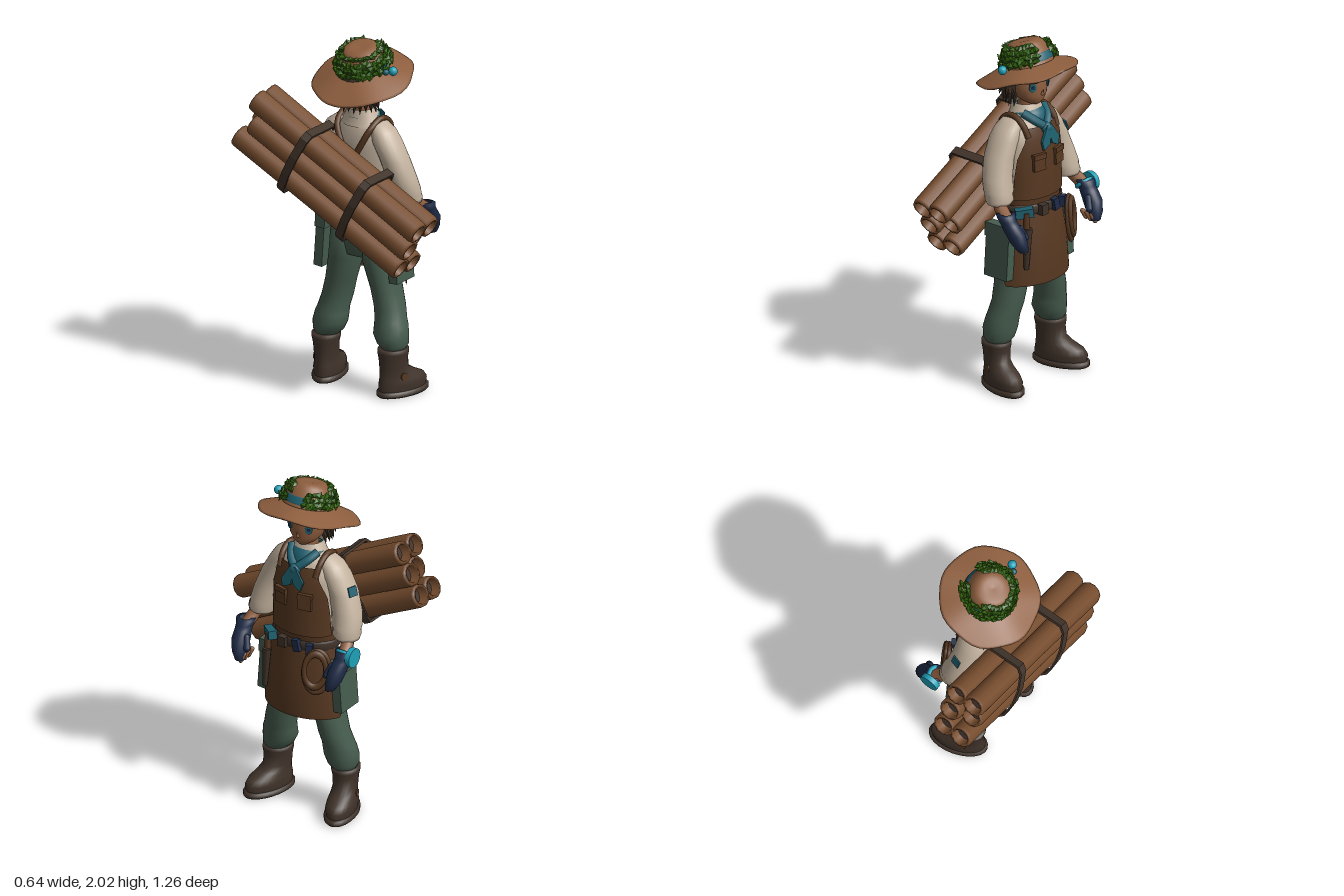
import * as THREE from 'three';

const mat = (name, color) => {
  const m = new THREE.MeshStandardMaterial({ color, side: THREE.DoubleSide });
  m.name = name;
  return m;
};

export function createModel() {
  const tan = mat('tan', 0x8f5f3f), cream = mat('cream', 0xc2b19d), brown = mat('apronBrown', 0x573821);
  const wood = mat('wood', 0x784e2f), green = mat('trouserGreen', 0x465c4e), dark = mat('darkBrown', 0x40332a);
  const leaf = mat('leaf', 0x35660f), teal = mat('teal', 0x1f6070), cyan = mat('cyan', 0x20a0b8), navy = mat('navy', 0x1f2c48);

  const root = new THREE.Group();
  root.name = 'forester';
  const body = new THREE.Group();
  body.name = 'body';
  body.position.x = -0.037;
  root.add(body);

  const put = (name, geo, m, x = 0, y = 0, z = 0, parent = body, rx = 0, ry = 0, rz = 0) => {
    const mesh = new THREE.Mesh(geo, m);
    mesh.name = name;
    mesh.position.set(x, y, z);
    mesh.rotation.set(rx, ry, rz);
    parent.add(mesh);
    return mesh;
  };
  const box = (w, h, d) => new THREE.BoxGeometry(w, h, d);
  const V = (p) => new THREE.Vector3(...p);
  const tube = (pts, r, sides = 8) => new THREE.TubeGeometry(new THREE.CatmullRomCurve3(pts.map(V)), 24, r, sides);

  // Skin over horizontal ellipses, bottom to top: [y, rx, rz, cx, cz, halfArc]
  const loft = (rings, n = 24) => {
    const pos = [], idx = [], closed = rings[0][5] === undefined, w = closed ? n : n + 1;
    for (const [y, rx, rz, cx = 0, cz = 0, half = Math.PI] of rings)
      for (let j = 0; j < w; j++) {
        const a = -half + (2 * half * j) / n;
        pos.push(cx + rx * Math.sin(a), y, cz + rz * Math.cos(a));
      }
    for (let i = 0; i < rings.length - 1; i++)
      for (let j = 0; j < n; j++) {
        const a = i * w + j, b = i * w + ((j + 1) % w);
        idx.push(a, b, b + w, a, b + w, a + w);
      }
    const g = new THREE.BufferGeometry();
    g.setAttribute('position', new THREE.Float32BufferAttribute(pos, 3));
    g.setIndex(idx);
    g.computeVertexNormals();
    return g;
  };
  const mirrored = (rings, s) => rings.map(([y, rx, rz, cx = 0, cz = 0]) => [y, rx, rz, cx * s, cz]);
  let seed = 7;
  const rnd = () => (seed = (seed * 16807) % 2147483647) / 2147483647;

  // Torso and hips
  put('shirt', loft([[1.02, .175, .11, 0, .07], [1.15, .18, .112, 0, .09], [1.3, .19, .128, 0, .07], [1.44, .195, .127, 0, .062],
    [1.52, .17, .11, 0, .053], [1.57, .115, .085, 0, .048], [1.6, .07, .065, 0, .045]]), cream);
  put('collar', loft([[1.545, .13, .105, 0, .048], [1.59, .1, .09, 0, .045], [1.64, .075, .075, 0, .035]]), cream);
  put('neck', new THREE.CylinderGeometry(.05, .055, .14, 16), tan, 0, 1.63, .045);
  put('hips', loft([[.76, 0, 0, 0, .055], [.78, .14, .09, 0, .055], [.88, .195, .112, 0, .055], [1.04, .185, .115, 0, .06]]), green);

  // Apron
  put('apronWaist', loft([[1.02, .19, .125, 0, .07], [1.1, .188, .123, 0, .082], [1.17, .19, .12, 0, .09]]), brown);
  put('apronBib', loft([[1.12, .195, .13, 0, .088, 1.4], [1.25, .2, .138, 0, .076, 1.25], [1.36, .203, .142, 0, .068, 1.1],
    [1.46, .2, .138, 0, .062, .8], [1.53, .175, .124, 0, .053, .75]]), brown);
  put('apronSkirt', loft([[.62, .257, .185, 0, .06, 1.3], [.64, .257, .187, 0, .06, 1.35], [.8, .24, .185, 0, .06, 1.35],
    [.95, .22, .16, 0, .062, 1.4], [1.06, .198, .135, 0, .07, 1.5]]), brown);
  put('belt', loft([[1.03, .2, .14, 0, .07], [1.04, .207, .147, 0, .07], [1.075, .207, .145, 0, .073], [1.085, .198, .135, 0, .073]]), dark);

  // Belt tools
  put('tealPouch', box(.1, .05, .05), teal, -.17, 1.055, .175, body, 0, -.7, .1);
  put('buckle', box(.04, .07, .03), navy, .035, 1.06, .222, body, 0, 0, .2);
  put('smallPouch', box(.05, .06, .04), dark, -.06, 1.055, .215);
  put('clip', box(.04, .06, .04), navy, .11, 1.05, .205, body, 0, .5);
  put('knifeSheath', new THREE.CylinderGeometry(.026, .014, .24, 8), dark, -.18, .85, .205, body, 0, 0, -.06);
  put('knifeHandle', new THREE.CylinderGeometry(.016, .02, .1, 8), brown, -.175, 1.01, .195);
  for (let i = 0; i < 2; i++) {
    const coil = put('ropeCoil', new THREE.TorusGeometry(.072 - i * .012, .014, 8, 28), brown, .165, .93 + i * .015, .215 + i * .018, body, -.1, .55);
    coil.scale.y = 1.65;
  }

  // Limbs, built once per side
  for (const s of [-1, 1]) {
    const side = s > 0 ? 'left' : 'right';
    put(side + 'TrouserLeg', loft(mirrored([[.25, 0, 0, .225, .03], [.265, .06, .065, .225, .03], [.3, .088, .088, .215, .03], [.35, .1, .096, .203, .03],
      [.4, .096, .094, .198, .04], [.43, .09, .092, .192, .045], [.5, .087, .093, .175, .06], [.6, .084, .1, .152, .062], [.75, .095, .11, .115, .057],
      [.9, .095, .113, .1, .055], [.95, 0, 0, .09, .05]], s)), green);
    const pocket = put(side + 'CargoPocket', box(.055, .3, .165), green, s * .243, .815, .06, body, 0, 0, s * .07);
    put(side + 'PocketFlap', box(.065, .08, .178), green, 0, .12, 0, pocket);

    const boot = new THREE.Group();
    boot.name = side + 'Boot';
    boot.position.set(s * .225, 0, .02);
    boot.rotation.y = s * .28;
    body.add(boot);
    put('bootUpper', loft([[.03, .078, .155, 0, .064], [.07, .083, .158, 0, .066], [.1, .077, .145, 0, .058], [.13, .07, .112, 0, .028],
      [.16, .068, .088, 0, .006], [.22, .072, .086, 0, 0], [.255, .08, .092, 0, 0], [.275, .08, .09, 0, 0], [.275, .05, .06]]), dark, 0, 0, 0, boot);
    put('sole', loft([[0, 0, 0, 0, .066], [0, .08, .16, 0, .066], [.01, .09, .17, 0, .066], [.032, .09, .17, 0, .066], [.038, .07, .15, 0, .066]]), dark, 0, 0, 0, boot);
    put('anklePatch', new THREE.CylinderGeometry(.022, .022, .008, 12), brown, s * .072, .12, .02, boot, 0, 0, Math.PI / 2);

    put(side + 'Sleeve', loft(mirrored([[1.125, .045, .045, .285, .09], [1.13, .07, .068, .283, .09], [1.15, .08, .08, .278, .088], [1.18, .078, .078, .276, .08],
      [1.2, .086, .084, .27, .075], [1.27, .085, .085, .258, .055], [1.38, .082, .087, .222, .038], [1.47, .08, .09, .175, .035],
      [1.53, .07, .078, .145, .038], [1.57, .045, .055, .115, .04], [1.585, 0, 0, .1, .04]], s)), cream);
    put(side + 'Forearm', tube([[s * .285, 1.17, .08], [s * .31, 1.11, .13], [s * .325, 1.06, .19]], .037), tan);
    put(side + 'Glove', loft(mirrored([[.885, 0, 0, .3, .28], [.895, .028, .03, .3, .282], [.94, .043, .05, .312, .265], [1.0, .05, .06, .322, .24],
      [1.05, .046, .055, .328, .205], [1.07, .048, .052, .33, .19], [1.1, .056, .052, .33, .18], [1.105, .035, .035, .33, .18]], s)), navy);
    put(side + 'Thumb', new THREE.CapsuleGeometry(.02, .06, 4, 10), navy, s * .275, .99, .255, body, -.4, 0, s * -.3);
    for (let i = 0; i < 3; i++)
      put(side + 'Finger', new THREE.CapsuleGeometry(.014, .04, 4, 8), tan, s * (.268 + i * .008), .925 - i * .008, .23 + i * .026, body, -.4, 0, s * .3);

    put(side + 'ChestPocket', box(.078, .095, .025), brown, s * .078, 1.335, .202, body, -.05, s * .2);
    put(side + 'ChestPocketFlap', box(.084, .03, .032), brown, s * .078, 1.37, .203, body, -.05, s * .2);
    put(side + 'ApronStrap', tube([[s * .118, 1.48, .16], [s * .125, 1.55, .125], [s * .125, 1.59, .05], [s * .11, 1.54, -.04],
      [s * .05, 1.42, -.068], [-s * .04, 1.28, -.06], [-s * .11, 1.13, -.02]], .017), brown);
  }
  put('wristDevice', new THREE.CylinderGeometry(.056, .056, .03, 24), cyan, .377, 1.07, .178, body, 0, 0, Math.PI / 2);
  put('wristBand', new THREE.TorusGeometry(.044, .012, 8, 20), cyan, .327, 1.075, .175, body, Math.PI / 2 - .7);
  put('sleevePatch', box(.008, .055, .055), teal, .298, 1.405, .06, body, 0, -.3, .32);

  // Scarf
  put('scarfLoop', loft([[1.535, .085, .09, 0, .075], [1.56, .1, .1, 0, .06], [1.595, .098, .095, 0, .05], [1.615, .075, .075, 0, .045]]), teal);
  put('scarfKnot', new THREE.SphereGeometry(.036, 14, 10), teal, 0, 1.515, .19).scale.set(1, .9, .8);
  const tail = new THREE.Shape([[-.018, 0], [.018, 0], [.036, -.1], [0, -.14], [-.03, -.1]].map((p) => new THREE.Vector2(...p)));
  for (const s of [-1, 1]) {
    put('scarfTail', new THREE.ExtrudeGeometry(tail, { depth: .015, bevelEnabled: false }), teal, 0, 1.53, .198, body, -.1, 0, s * .42);
    put('scarfFold', tube([[s * .085, 1.6, .09], [s * .055, 1.565, .145], [0, 1.515, .19]], .024), teal);
  }

  // Head, face and hair
  put('head', loft([[1.635, 0, 0, 0, .1], [1.642, .03, .03, 0, .1], [1.665, .066, .065, 0, .085], [1.7, .096, .092, 0, .066], [1.75, .113, .108, 0, .052],
    [1.82, .118, .112, 0, .045], [1.89, .095, .09, 0, .035], [1.92, 0, 0, 0, .03]], 28), tan);
  put('nose', new THREE.ConeGeometry(.012, .035, 8), tan, 0, 1.722, .163, body, .3);
  for (const s of [-1, 1]) {
    put('ear', new THREE.SphereGeometry(.025, 10, 8), tan, s * .115, 1.74, .03).scale.set(.5, 1.2, 1);
    put('eye', new THREE.CylinderGeometry(.021, .021, .008, 16), teal, s * .062, 1.757, .143, body, Math.PI / 2, 0, -s * .48).scale.z = 1.25;
    put('pupil', new THREE.CylinderGeometry(.01, .01, .008, 12), navy, s * .063, 1.757, .146, body, Math.PI / 2, 0, -s * .48);
    put('brow', box(.052, .008, .008), dark, s * .062, 1.785, .147, body, 0, s * .48, -s * .1);
  }
  put('hair', new THREE.SphereGeometry(.122, 20, 14), dark, 0, 1.79, .005).scale.set(1.02, 1, .9);
  for (let i = 0; i < 26; i++) {
    const a = 1.3 + (3.7 * (i % 13)) / 12, low = i < 13 ? 1.735 : 1.69, r = i < 13 ? .122 : .1;
    put('hairLock', new THREE.ConeGeometry(.03, .1 + rnd() * .03, 5), dark, Math.sin(a) * r, low, .015 + Math.cos(a) * r * .9,
      body, Math.PI - Math.cos(a) * .35, 0, Math.sin(a) * -.25);
  }
  put('headband', loft([[1.79, .126, .12, 0, .05, 1.75], [1.8, .134, .128, 0, .05, 1.75], [1.85, .134, .128, 0, .05, 1.75], [1.86, .126, .12, 0, .05, 1.75]]), teal);

  // Hat with a wavy brim, band and leaf wreath
  const hat = new THREE.Group();
  hat.name = 'hat';
  hat.position.set(0, 1.862, .032);
  hat.rotation.x = -.3;
  body.add(hat);
  const lathe = (pts, n) => new THREE.LatheGeometry(pts.map((p) => new THREE.Vector2(...p)), n);
  const brim = lathe([[.1, -.012], [.2, -.045], [.275, -.07], [.287, -.064], [.275, -.055], [.2, -.026], [.13, .004], [.1, .01]], 40);
  const bp = brim.attributes.position;
  for (let i = 0; i < bp.count; i++) {
    const x = bp.getX(i), z = bp.getZ(i), a = Math.atan2(x, z), k = Math.max(0, Math.hypot(x, z) - .15) / .135;
    const f = 1 + .015 * k * Math.sin(a * 7);
    bp.setXYZ(i, x * f, bp.getY(i) + .007 * k * Math.sin(a * 5 + 1), z * f);
  }
  brim.computeVertexNormals();
  put('brim', brim, tan, 0, 0, 0, hat);
  put('crown', lathe([[.142, -.005], [.133, .03], [.122, .07], [.105, .105], [.082, .124], [.05, .127], [0, .122]], 28), tan, 0, 0, .03, hat);
  put('hatBand', lathe([[.142, .012], [.143, .018], [.135, .052], [.13, .055]], 28), teal, 0, 0, .03, hat);
  for (let i = 0; i < 84; i++) {
    const a = .42 + (5.45 * i) / 83, high = i % 3, r = .152 - high * .013 + rnd() * .012;
    const l = put('wreathLeaf', new THREE.OctahedronGeometry(.028), leaf, Math.sin(a) * r, .02 + high * .026 + rnd() * .01, .03 + Math.cos(a) * r,
      hat, rnd() * 2 - 1, a + rnd() - .5, rnd() * 2);
    l.scale.set(1.1, .9, .5);
  }
  for (let i = 0; i < 22; i++) {
    const a = 1.8 + (4 * i) / 21, r = .1 + rnd() * .015;
    put('crownLeaf', new THREE.OctahedronGeometry(.024), leaf, Math.sin(a) * r, .107, .03 + Math.cos(a) * r, hat, rnd() * .6, rnd() * 3, rnd() * .6).scale.set(1.2, .6, 1);
  }
  put('blossom', new THREE.SphereGeometry(.026, 12, 8), cyan, -.205, .015, .02, hat);
  put('blossomTie', new THREE.SphereGeometry(.018, 10, 8), teal, -.178, .02, -.01, hat);

  // Bundle of hollow logs across the back
  const bundle = new THREE.Group();
  bundle.name = 'logBundle';
  bundle.position.set(0, 1.25, -.166);
  bundle.rotation.z = .473;
  root.add(bundle);
  for (let row = -1; row <= 1; row++)
    for (const col of [-1, 1]) {
      const h = .61 - (row === 0 ? .025 : 0), r = .067, d = h - .1;
      const log = lathe([[0, -d], [.046, -d], [.048, -h], [r - .004, -h], [r, -h + .015], [r - .004, 0], [r, h - .015], [r - .004, h], [.048, h], [.046, d], [0, d]], 11);
      put('log', log, wood, row === 0 ? col * .025 : 0, row * .13, col * .057, bundle, 0, 0, -Math.PI / 2);
      for (const e of [-1, 1])
        put('hollow', new THREE.CylinderGeometry(.044, .044, .006, 12), dark, e * (h - .055) + (row === 0 ? col * .025 : 0), row * .13, col * .057, bundle, 0, 0, Math.PI / 2);
    }
  // Strap loops around the bundle: u runs along depth, v across the rows
  const loop = (k) => [[.118, -.2], [.13, -.17], [.13, .17], [.118, .2], [-.1, .203], [-.128, .17], [-.15, .05], [-.15, -.06], [-.128, -.17], [-.1, -.203]]
    .map(([u, v]) => new THREE.Vector2(-u * k, v * k));
  for (const x of [-.22, .22]) {
    const band = new THREE.Shape(loop(1.03));
    band.holes.push(new THREE.Path(loop(.96)));
    put('bundleStrap', new THREE.ExtrudeGeometry(band, { depth: .05, bevelEnabled: false }), dark, x - .025, 0, 0, bundle, 0, Math.PI / 2);
  }

  // Turn the figure to face +x
  root.rotation.y = Math.PI / 2;
  const model = new THREE.Group();
  model.name = 'model';
  model.add(root);
  return model;
}
